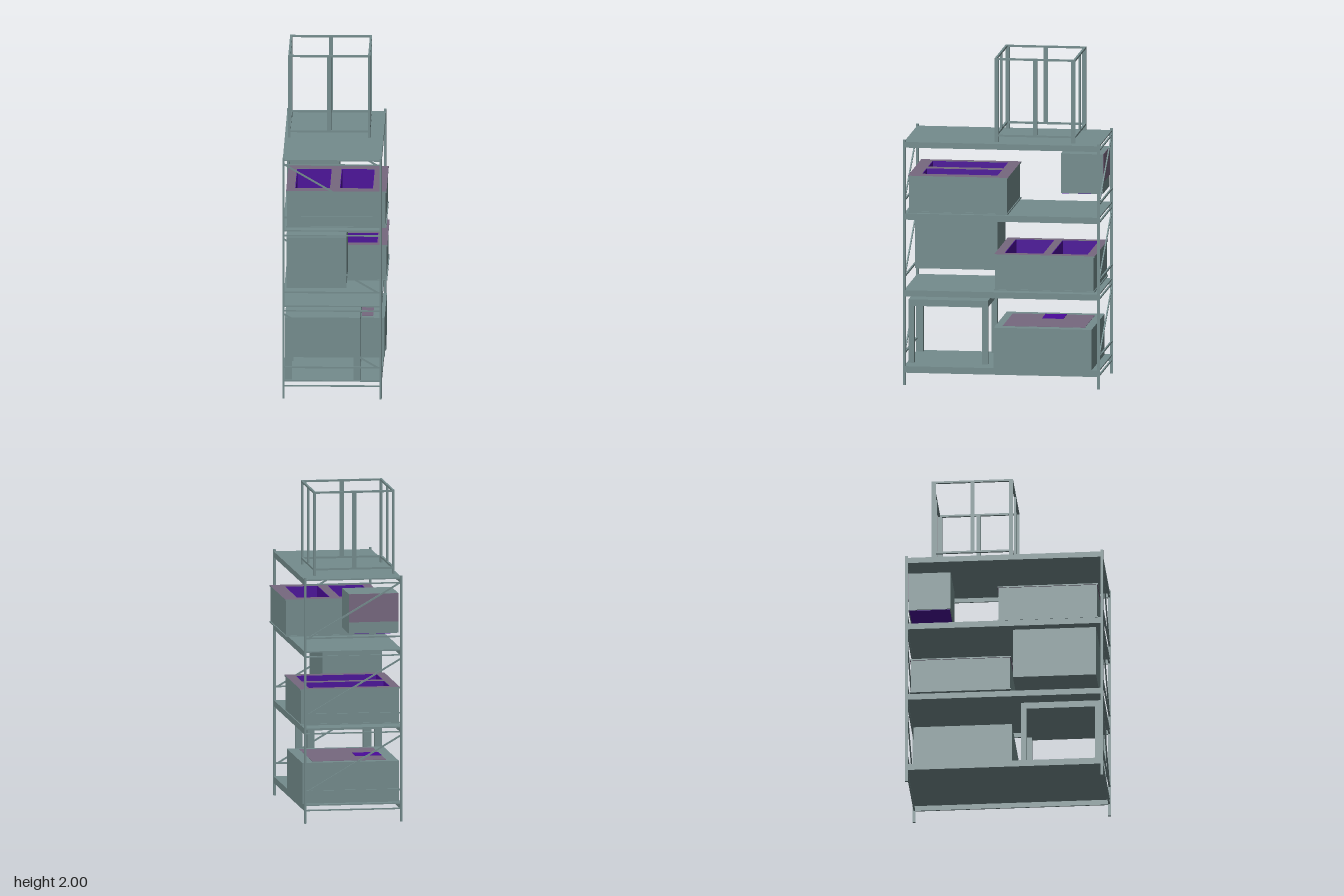
import * as THREE from 'three';

const mat = (name, color) => {
  const m = new THREE.MeshStandardMaterial({ color });
  m.name = name;
  return m;
};

export function createModel() {
  const model = new THREE.Group();
  model.name = 'storageRack';
  const grey = mat('slateGrey', 0x748c8d);
  const purple = mat('deepPurple', 0x4b0a9a);
  const mauve = mat('mauve', 0x76687f);

  // box given by its min and max along each axis
  const box = (parent, name, x0, x1, y0, y1, z0, z1, material = grey) => {
    const mesh = new THREE.Mesh(new THREE.BoxGeometry(x1 - x0, y1 - y0, z1 - z0), material);
    mesh.position.set((x0 + x1) / 2, (y0 + y1) / 2, (z0 + z1) / 2);
    mesh.name = name;
    parent.add(mesh);
    return mesh;
  };
  const group = (name) => {
    const g = new THREE.Group();
    g.name = name;
    model.add(g);
    return g;
  };

  // horizontal plate with rectangular holes; rectangles are [x0, x1, z0, z1]
  const corners = ([x0, x1, z0, z1]) =>
    [[x0, -z0], [x0, -z1], [x1, -z1], [x1, -z0]].map(([x, y]) => new THREE.Vector2(x, y));
  const plate = (parent, name, rect, holes, y0, y1, materials) => {
    const shape = new THREE.Shape(corners(rect));
    holes.forEach((h) => shape.holes.push(new THREE.Path(corners(h).reverse())));
    const geo = new THREE.ExtrudeGeometry(shape, { depth: y1 - y0, bevelEnabled: false });
    geo.rotateX(-Math.PI / 2);
    const mesh = new THREE.Mesh(geo, materials);
    mesh.position.y = y0;
    mesh.name = name;
    parent.add(mesh);
  };

  // corner posts
  const rack = group('rackFrame');
  for (const [x0, x1] of [[-0.315, -0.301], [0.271, 0.285]])
    for (const [z0, z1] of [[0.583, 0.6], [-0.6, -0.583]]) box(rack, 'cornerPost', x0, x1, 0, 1.5, z0, z1);

  // shelves: thin deck, deep long beams and thin end bars
  for (const [y0, y1] of [[0.075, 0.115], [0.543, 0.58], [1.012, 1.05], [1.453, 1.488]]) {
    const shelf = group('shelf');
    box(shelf, 'deck', -0.313, 0.283, y1 - 0.008, y1, -0.594, 0.594);
    box(shelf, 'longBeam', -0.313, -0.304, y0, y1 - 0.008, -0.594, 0.594);
    box(shelf, 'longBeam', 0.274, 0.283, y0, y1 - 0.008, -0.594, 0.594);
    for (const s of [-1, 1]) box(shelf, 'endBar', -0.304, 0.274, y0, y0 + 0.008, s * 0.59 - 0.005, s * 0.59 + 0.005);
  }

  // end bracing, alike at the front and the back
  for (const yLow of [0.195, 0.663, 1.13])
    for (const z of [-0.592, 0.592]) {
      box(rack, 'crossBar', -0.303, 0.273, yLow - 0.005, yLow + 0.005, z - 0.005, z + 0.005);
      const rise = 0.33, run = 0.565;
      const brace = new THREE.Mesh(new THREE.BoxGeometry(Math.hypot(rise, run), 0.01, 0.008), grey);
      brace.position.set(-0.305 + run / 2, yLow + rise / 2, z);
      brace.rotation.z = -Math.atan2(rise, run);
      brace.name = 'diagonalBrace';
      rack.add(brace);
    }

  // open crates with a rim, a foot and lined pockets
  const crate = (name, rect, y0, y1, pockets) => {
    const g = group(name);
    const [x0, x1, z0, z1] = rect;
    const e = 0.006, t = 0.004, floor = y0 + 0.03;
    plate(g, 'body', rect, pockets, y0 + 0.008, y1 - 0.008, grey);
    plate(g, 'rim', [x0 - e, x1 + e, z0 - e, z1 + e], pockets, y1 - 0.008, y1, [mauve, grey]);
    box(g, 'foot', x0 - e, x1 + e, y0, y0 + 0.008, z0 - e, z1 + e);
    for (const [a, b, c, d] of pockets) {
      box(g, 'pocketFloor', a, b, floor, floor + t, c, d, purple);
      box(g, 'pocketWall', a, a + t, floor, y1 - 0.001, c, d, purple);
      box(g, 'pocketWall', b - t, b, floor, y1 - 0.001, c, d, purple);
      box(g, 'pocketWall', a + t, b - t, floor, y1 - 0.001, c, c + t, purple);
      box(g, 'pocketWall', a + t, b - t, floor, y1 - 0.001, d - t, d, purple);
    }
  };
  crate('upperCrate', [-0.287, 0.307, -0.037, 0.56], 1.06, 1.287,
    [[-0.24, -0.03, 0.03, 0.49], [0.03, 0.23, 0.03, 0.49]]);
  crate('middleCrate', [-0.298, 0.3, -0.565, 0.035], 0.595, 0.817,
    [[-0.25, 0.245, -0.25, -0.015], [-0.25, 0.245, -0.52, -0.3]]);

  // closed chest with a lid panel and a small hatch
  const chest = group('lowerChest');
  box(chest, 'chestBody', -0.3, 0.29, 0.115, 0.364, -0.55, 0.046);
  box(chest, 'lidPanel', -0.23, 0.22, 0.364, 0.366, -0.5, 0.0, mauve);
  box(chest, 'lidHatch', -0.23, -0.07, 0.366, 0.368, -0.33, -0.2, purple);

  // plain case on the middle shelf
  box(model, 'plainCase', -0.292, 0.07, 0.68, 0.995, 0.052, 0.555);

  // small cabinet on the upper shelf
  const cabinet = group('smallCabinet');
  box(cabinet, 'cabinetBody', -0.292, 0.01, 1.15, 1.392, -0.582, -0.325);
  box(cabinet, 'backPanel', -0.292, 0.01, 1.22, 1.392, -0.585, -0.582, mauve);
  box(cabinet, 'bottomPanel', -0.285, 0.003, 1.147, 1.15, -0.576, -0.331, purple);

  // table on the lowest shelf
  const table = group('table');
  box(table, 'tableTop', -0.3, 0.155, 0.463, 0.503, 0.1, 0.583);
  for (const [x0, x1] of [[-0.3, -0.258], [0.113, 0.155]])
    for (const [z0, z1] of [[0.1, 0.135], [0.55, 0.583]]) box(table, 'tableLeg', x0, x1, 0.115, 0.463, z0, z1);

  // open cage on the roof
  const cage = group('roofCage');
  const [cx0, cx1, cz0, cz1, t] = [-0.292, 0.203, -0.44, 0.052, 0.013];
  const mx = -0.045, mz = -0.194, h = 0.0125;
  for (const x of [cx0, cx1 - t]) {
    for (const z of [cz0, cz1 - 0.025]) box(cage, 'cagePost', x, x + t, 1.488, 2, z, z + 0.025);
    box(cage, 'middlePost', x, x + t, 1.53, 1.988, mz - h, mz + h);
    for (const y of [1.52, 1.988]) box(cage, 'sideRail', x, x + t, y, y + 0.012, cz0 + 0.025, cz1 - 0.025);
  }
  for (const z of [cz0, cz1 - t]) {
    box(cage, 'middlePost', mx - h, mx + h, 1.53, 1.988, z, z + t);
    for (const y of [1.52, 1.988]) box(cage, 'endRail', cx0 + t, cx1 - t, y, y + 0.012, z, z + t);
  }

  return model;
}
